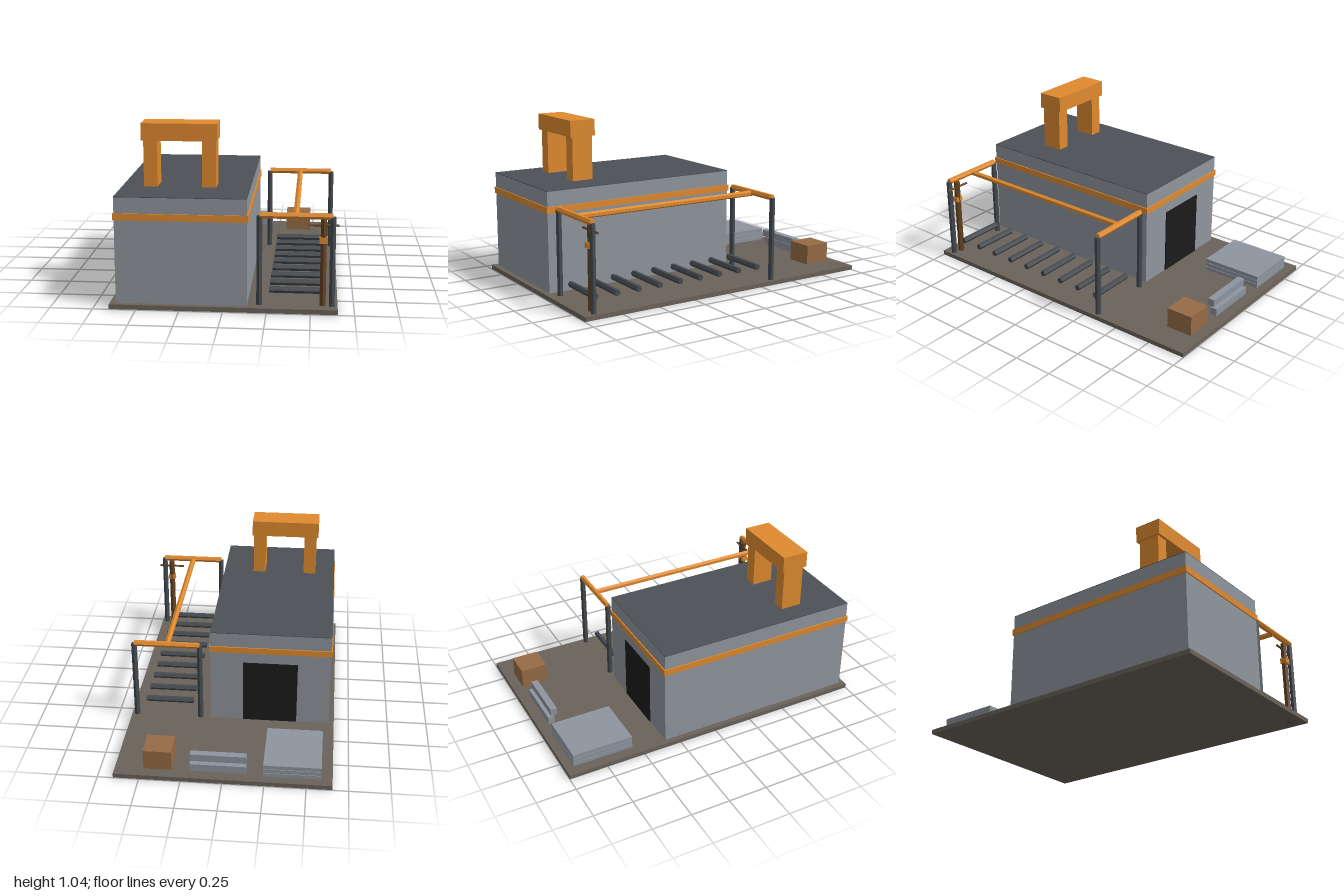
import * as THREE from 'three';

const mat = (name, color) => {
  const m = new THREE.MeshStandardMaterial({ color });
  m.name = name;
  return m;
};

export function createModel() {
  const M = {
    ground: mat('ground', 0x6a635a),
    wall: mat('concrete wall', 0x90969d),
    roof: mat('dark roof', 0x4d5156),
    orange: mat('safety orange', 0xe08a2e),
    steel: mat('dark steel', 0x454b51),
    door: mat('doorway black', 0x1b1b1b),
    crate: mat('crate brown', 0x966b45),
    slab: mat('slab grey', 0x8e959f),
    pole: mat('pole brown', 0x654422),
  };
  const root = new THREE.Group();

  // box given by its minimum and maximum corners
  const box = (name, material, [x0, y0, z0], [x1, y1, z1]) => {
    const mesh = new THREE.Mesh(new THREE.BoxGeometry(x1 - x0, y1 - y0, z1 - z0), material);
    mesh.position.set((x0 + x1) / 2, (y0 + y1) / 2, (z0 + z1) / 2);
    mesh.name = name;
    root.add(mesh);
  };

  // faceted six-sided bar between two points
  const bar = (name, material, a, b, r) => {
    const from = new THREE.Vector3(...a), to = new THREE.Vector3(...b);
    const dir = to.clone().sub(from);
    const geo = new THREE.CylinderGeometry(r, r, dir.length(), 6).toNonIndexed();
    geo.computeVertexNormals();
    const mesh = new THREE.Mesh(geo, material);
    mesh.position.copy(from).add(to).multiplyScalar(0.5);
    mesh.quaternion.setFromUnitVectors(new THREE.Vector3(0, 1, 0), dir.normalize());
    mesh.name = name;
    root.add(mesh);
  };

  // ground plate
  box('groundPlate', M.ground, [-0.655, 0, -1], [0.655, 0.028, 1]);

  // hall with roof, band and rear doorway
  box('hallWalls', M.wall, [-0.62, 0.028, -0.344], [0.138, 0.652, 0.967]);
  box('roofPlate', M.roof, [-0.62, 0.652, -0.344], [0.138, 0.656, 0.967]);
  box('wallBand', M.orange, [-0.627, 0.52, -0.351], [0.145, 0.559, 0.974]);
  box('rearDoorway', M.door, [-0.413, 0.028, -0.349], [-0.068, 0.45, -0.343]);

  // twin stacks joined by a duct
  for (const x of [-0.449, -0.104])
    box('roofStack', M.orange, [x - 0.041, 0.656, 0.553], [x + 0.041, 0.933, 0.69]);
  box('stackDuct', M.orange, [-0.502, 0.932, 0.536], [-0.055, 1.035, 0.706]);

  // gantry: two portal frames and the rail between them
  for (const z of [-0.342, 0.928]) {
    for (const x of [0.206, 0.621])
      bar('gantryPost', M.steel, [x, 0.028, z], [x, 0.552, z], 0.0185);
    bar('gantryCrossbeam', M.orange, [0.206, 0.555, z], [0.62, 0.555, z], 0.019);
  }
  bar('gantryRail', M.orange, [0.412, 0.549, -0.342], [0.412, 0.549, 0.928], 0.0185);

  // roller line
  for (let i = 0; i < 9; i++) {
    const z = 0.885 - i * 0.145;
    bar('roller', M.steel, [0.26, 0.105, z], [0.569, 0.105, z], 0.0195);
  }

  // service pole with collar and crossarm
  bar('servicePole', M.pole, [0.569, -0.002, 0.915], [0.569, 0.54, 0.913], 0.02);
  box('poleCollar', M.orange, [0.545, 0.398, 0.896], [0.592, 0.432, 0.938]);
  bar('poleCrossarm', M.pole, [0.482, 0.5, 0.913], [0.655, 0.5, 0.913], 0.007);

  // yard goods behind the hall
  box('crate', M.crate, [0.309, 0.028, -0.932], [0.48, 0.156, -0.761]);
  for (let i = 0; i < 3; i++) {
    const y = 0.028 + i * 0.028;
    box('stackedSlab', M.slab, [-0.587, y, -0.945], [-0.241, y + 0.025, -0.555]);
  }
  box('lowerBeam', M.slab, [-0.138, 0.028, -0.928], [0.202, 0.076, -0.885]);
  box('upperBeam', M.slab, [-0.138, 0.086, -0.908], [0.202, 0.132, -0.865]);

  return root;
}
